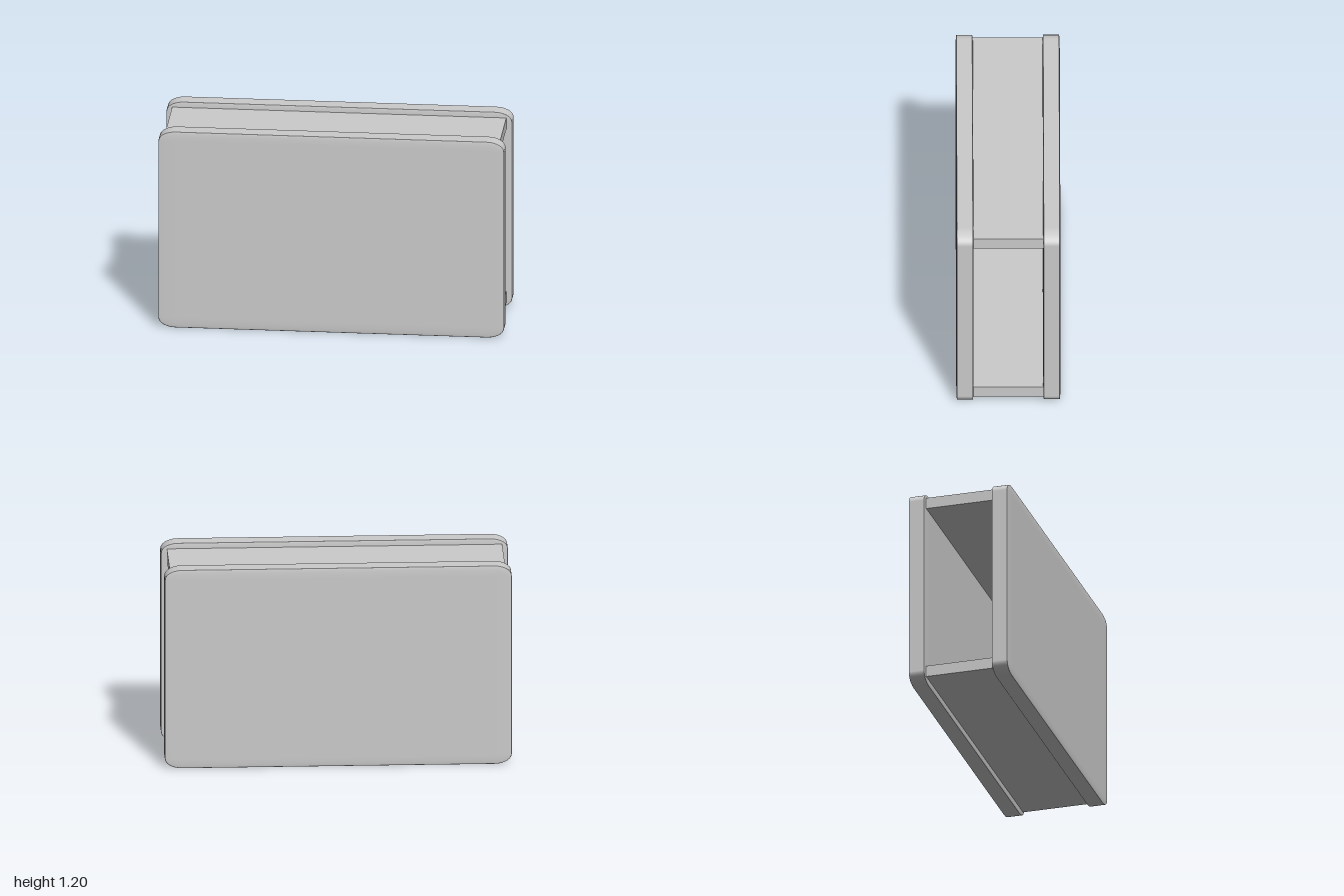
import * as THREE from 'three';
import { RoundedBoxGeometry } from 'three/addons/geometries/RoundedBoxGeometry.js';

export function createModel() {
  const model = new THREE.Group();
  const material = new THREE.MeshStandardMaterial({ color: 0xcccccc });

  const add = (name, geometry, y, z) => {
    const mesh = new THREE.Mesh(geometry, material);
    mesh.name = name;
    mesh.position.set(0, y, z);
    model.add(mesh);
  };

  // Large panels: a softened cube stretched flat, so its rounding stretches too
  const panel = new RoundedBoxGeometry(1, 1, 1, 4, 0.05).scale(2, 1.2, 0.1);
  add('frontPanel', panel, 0.6, 0.25);
  add('backPanel', panel, 0.6, -0.25);

  // Boards joining the panels, leaving both ends open
  const board = new THREE.BoxGeometry(1.933, 0.067, 0.404);
  add('topBoard', board, 1.134, 0);
  add('bottomBoard', board, 0.067, 0);

  return model;
}
